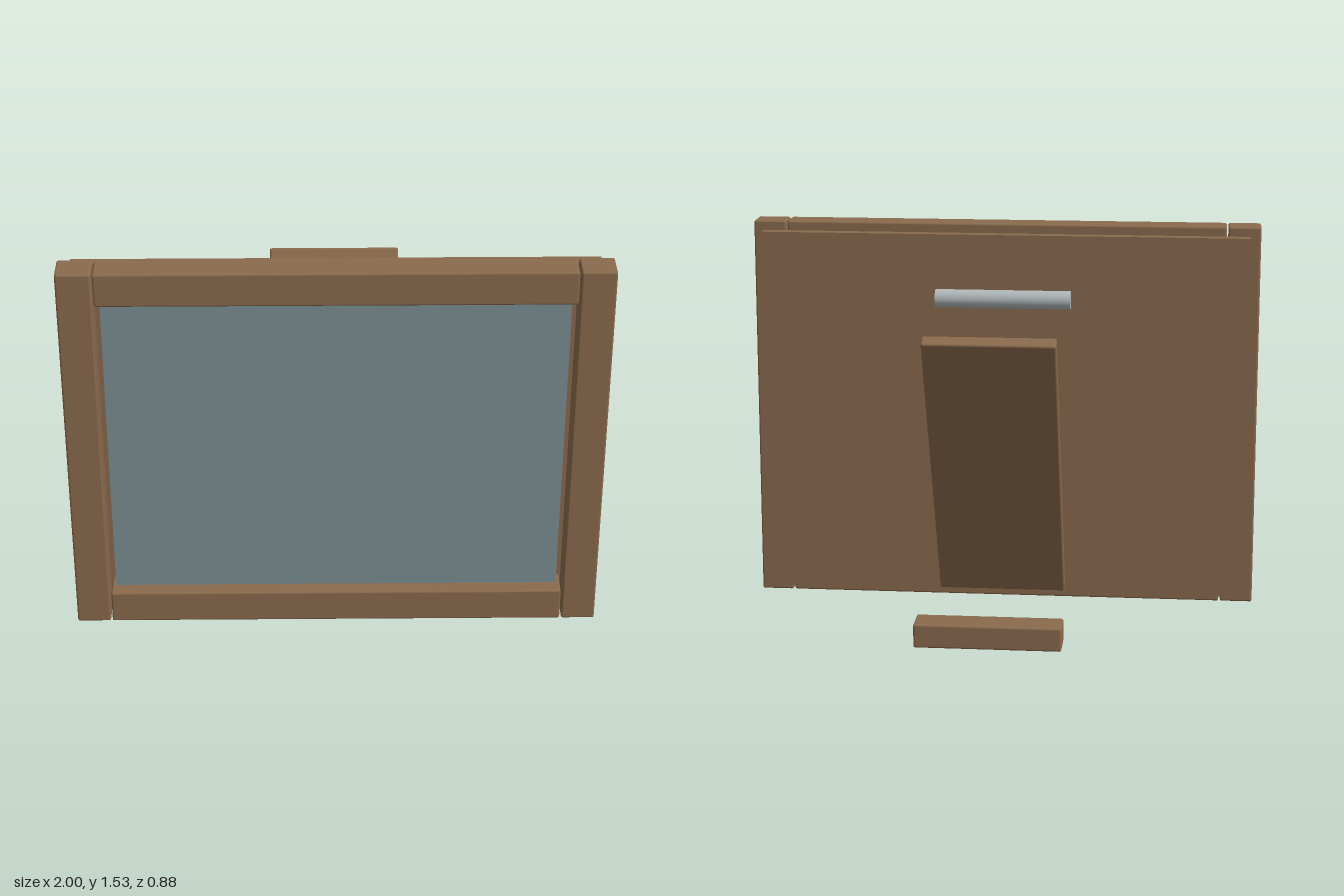
import * as THREE from 'three';
import { RoundedBoxGeometry } from 'three/addons/geometries/RoundedBoxGeometry.js';

export function createModel() {
  const group = new THREE.Group();
  group.name = 'pictureFrame';

  const material = (name, color) => {
    const m = new THREE.MeshStandardMaterial({ color });
    m.name = name;
    return m;
  };
  const wood = material('wood', 0x8b6b4d);
  const glass = material('glass', 0x7b9195);
  const metal = material('metal', 0xb0b7b9);

  const add = (name, geometry, mat, x, y, z) => {
    const mesh = new THREE.Mesh(geometry, mat);
    mesh.name = name;
    mesh.position.set(x, y, z);
    group.add(mesh);
    return mesh;
  };
  const rounded = (w, h, d, r) => new RoundedBoxGeometry(w, h, d, 2, r);

  // Frame: two upright stiles with two rails between them
  const height = 1.526, depth = 0.116, frameZ = 0.382;
  for (const [side, name] of [[1, 'leftStile'], [-1, 'rightStile']]) {
    add(name, rounded(0.128, height, depth, 0.008), wood, side * 0.936, height / 2, frameZ);
  }
  for (const [y, name] of [[0.066, 'bottomRail'], [height - 0.066, 'topRail']]) {
    add(name, rounded(1.732, 0.132, depth, 0.008), wood, 0, y, frameZ);
  }

  // Glass pane set into the frame, with a backing board behind it
  add('glassPane', new THREE.BoxGeometry(1.7, 1.262, 0.02), glass, 0, height / 2, 0.374);
  add('backBoard', new THREE.BoxGeometry(1.92, 1.452, 0.046), wood, 0, 0.766, 0.279);

  // Round metal hinge bar behind the board
  const hinge = add('hingeBar', new THREE.CylinderGeometry(0.036, 0.036, 0.53, 32), metal, 0, 1.245, 0.22);
  hinge.rotation.z = Math.PI / 2;

  // Leaning support leg and its separate foot block
  const leg = add('supportLeg', rounded(0.5, 1.272, 0.054, 0.008), wood, 0, 0.637, -0.072);
  leg.rotation.x = -Math.atan2(0.595, 1.125);
  add('footBlock', rounded(0.56, 0.092, 0.13, 0.008), wood, 0, 0.074, -0.376);

  return group;
}
